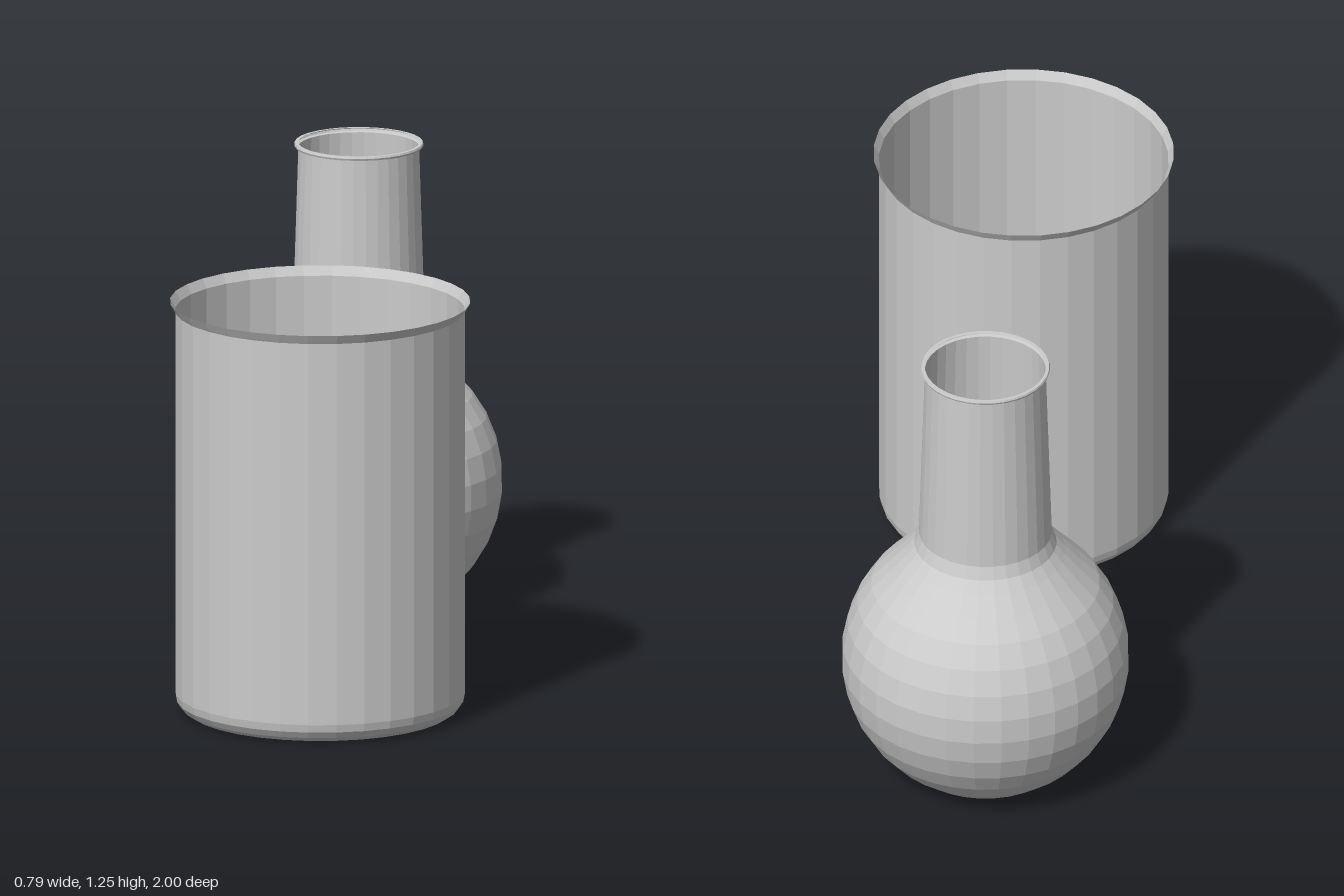
import * as THREE from 'three';

const SIDES = 32;
const glass = new THREE.MeshStandardMaterial({
  color: 0xcccccc, flatShading: true, side: THREE.DoubleSide,
});

// Thin faceted vessel spun from [radius, height] pairs, bottom to top
function vessel(name, profile, z) {
  const points = profile.map(([r, y]) => new THREE.Vector2(r, y));
  const mesh = new THREE.Mesh(new THREE.LatheGeometry(points, SIDES), glass);
  mesh.name = name;
  mesh.position.z = z;
  return mesh;
}

// Points on a circular arc, angles in degrees above the horizontal
function arc(cx, cy, radius, from, to, steps) {
  return Array.from({ length: steps + 1 }, (_, i) => {
    const a = THREE.MathUtils.degToRad(from + (to - from) * i / steps);
    return [cx + radius * Math.cos(a), cy + radius * Math.sin(a)];
  });
}

export function createModel() {
  const group = new THREE.Group();
  group.name = 'labGlassware';

  // Beaker: flat base, rounded lower edge, straight wall and flared lip
  group.add(vessel('beaker', [
    [0, 0],
    ...arc(0.328, 0.055, 0.055, -90, 0, 4),
    [0.383, 1.09], [0.387, 1.097], [0.397, 1.115],
  ], 0.603));

  // Flask: flat base, round bulb, curved shoulder, tapering neck and beaded lip
  group.add(vessel('roundFlask', [
    [0, 0.015],
    ...arc(0, 0.335, 0.38, -57.4, 48, 10),
    [0.212, 0.665], [0.188, 0.695], [0.176, 0.73],
    [0.16, 1.237],
    [0.169, 1.239], [0.171, 1.244], [0.169, 1.249], [0.16, 1.249],
  ], -0.62));

  return group;
}
